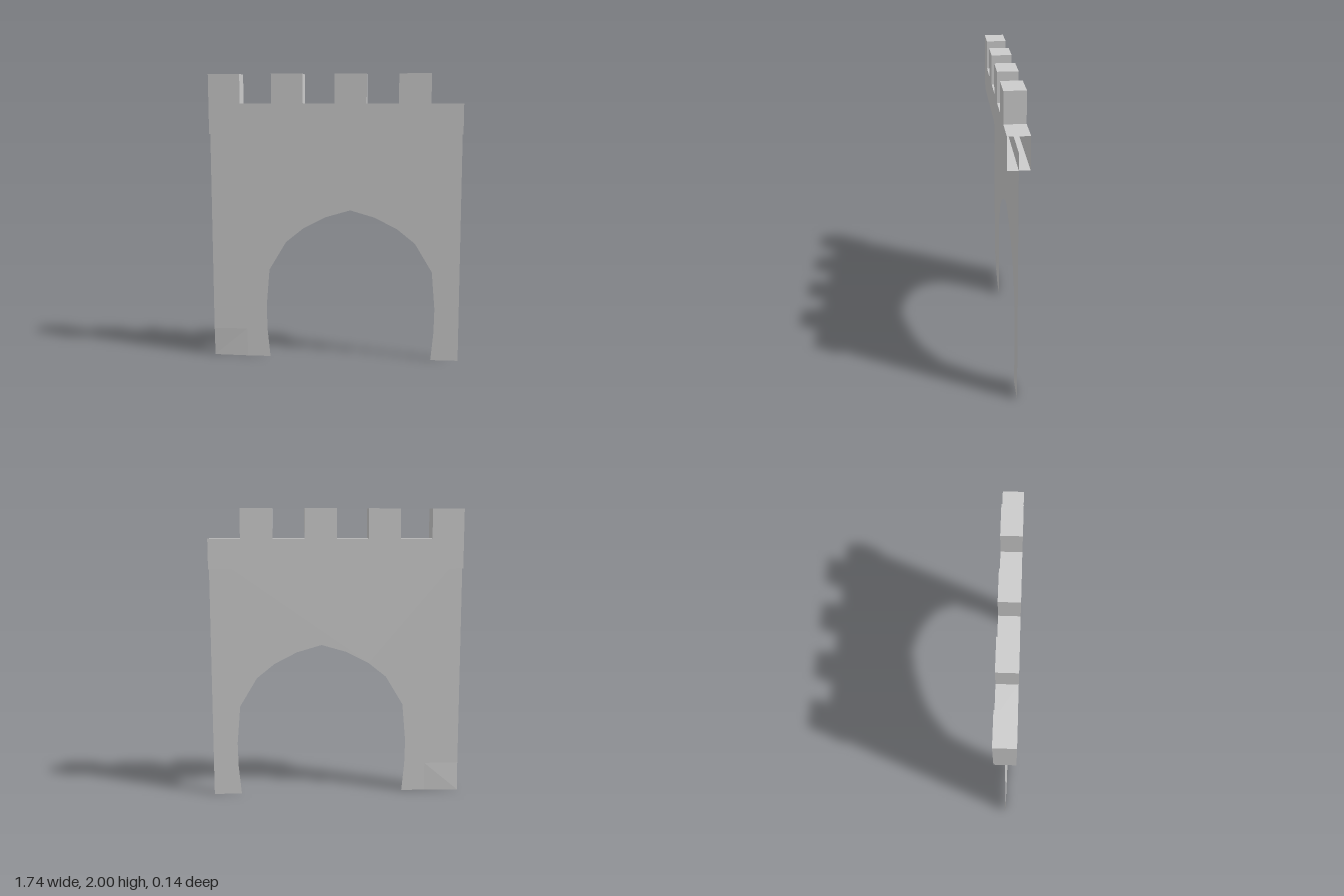
import * as THREE from 'three';

const material = new THREE.MeshStandardMaterial({ color: 0xcccccc, flatShading: true, side: THREE.DoubleSide });

const shapeFrom = (points) => new THREE.Shape(points.map(([x, y]) => new THREE.Vector2(x, y)));

function addMesh(parent, name, geometry) {
  const mesh = new THREE.Mesh(geometry, material);
  mesh.name = name;
  parent.add(mesh);
  return mesh;
}

// Thin wall sheet with a pointed arch opening
function createWall() {
  const wall = new THREE.Group();
  wall.name = 'archWall';
  const centre = 0.104;
  const halfArch = [ // distance from the arch's centre line, height
    [0.572, 0], [0.591, 0.2], [0.595, 0.37], [0.572, 0.635],
    [0.452, 0.835], [0.328, 0.935], [0.172, 1.015],
  ];
  const leftSide = halfArch.map(([d, y]) => [centre - d, y]);
  const rightSide = halfArch.map(([d, y]) => [centre + d, y]).reverse();
  const outline = [
    [-0.873, 0.2], [-0.633, 0.2], [-0.633, 0],
    ...leftSide, [centre, 1.065], ...rightSide,
    [0.868, 0], [0.868, 1.7], [-0.873, 1.7],
  ];
  addMesh(wall, 'wallSheet', new THREE.ShapeGeometry(shapeFrom(outline)));

  // Foot corner, bent slightly backwards
  const corner = new THREE.PlaneGeometry(0.24, 0.2).translate(-0.753, 0.1, 0);
  corner.attributes.position.setZ(2, -0.01);
  corner.computeVertexNormals();
  addMesh(wall, 'bentFootCorner', corner);
  return wall;
}

// Hollow battlement shell, open at its +x end
function createBattlement() {
  const battlement = new THREE.Group();
  battlement.name = 'battlement';
  const left = -0.865, right = 0.868, halfDepth = 0.068;
  const step = (right - left) / 8;

  // Outline starts at the open end's bottom corner and finishes at its top
  const outline = [[right, 1.595], [left, 1.595]];
  for (let i = 0; i < 8; i++) {
    const y = i % 2 === 0 ? 2 : 1.8;
    outline.push([left + i * step, y], [left + (i + 1) * step, y]);
  }

  const face = new THREE.ShapeGeometry(shapeFrom(outline));
  addMesh(battlement, 'frontFace', face).position.z = halfDepth;
  const back = addMesh(battlement, 'backFace', face.clone().scale(-1, 1, 1).rotateY(Math.PI));
  back.geometry = face.clone();
  back.geometry.setIndex([...face.index.array].reverse());
  back.geometry.computeVertexNormals();
  back.position.z = -halfDepth;

  // Strip joining the two faces along every edge but the open end
  const positions = [];
  for (let i = 0; i < outline.length - 1; i++) {
    const [ax, ay] = outline[i], [bx, by] = outline[i + 1];
    const af = [ax, ay, halfDepth], ab = [ax, ay, -halfDepth];
    const bf = [bx, by, halfDepth], bb = [bx, by, -halfDepth];
    positions.push(...af, ...bf, ...ab, ...bf, ...bb, ...ab);
  }
  const strip = new THREE.BufferGeometry();
  strip.setAttribute('position', new THREE.Float32BufferAttribute(positions, 3));
  strip.computeVertexNormals();
  addMesh(battlement, 'edgeStrip', strip);
  return battlement;
}

export function createModel() {
  const model = new THREE.Group();
  model.name = 'castleGateway';
  model.add(createWall(), createBattlement());
  return model;
}
